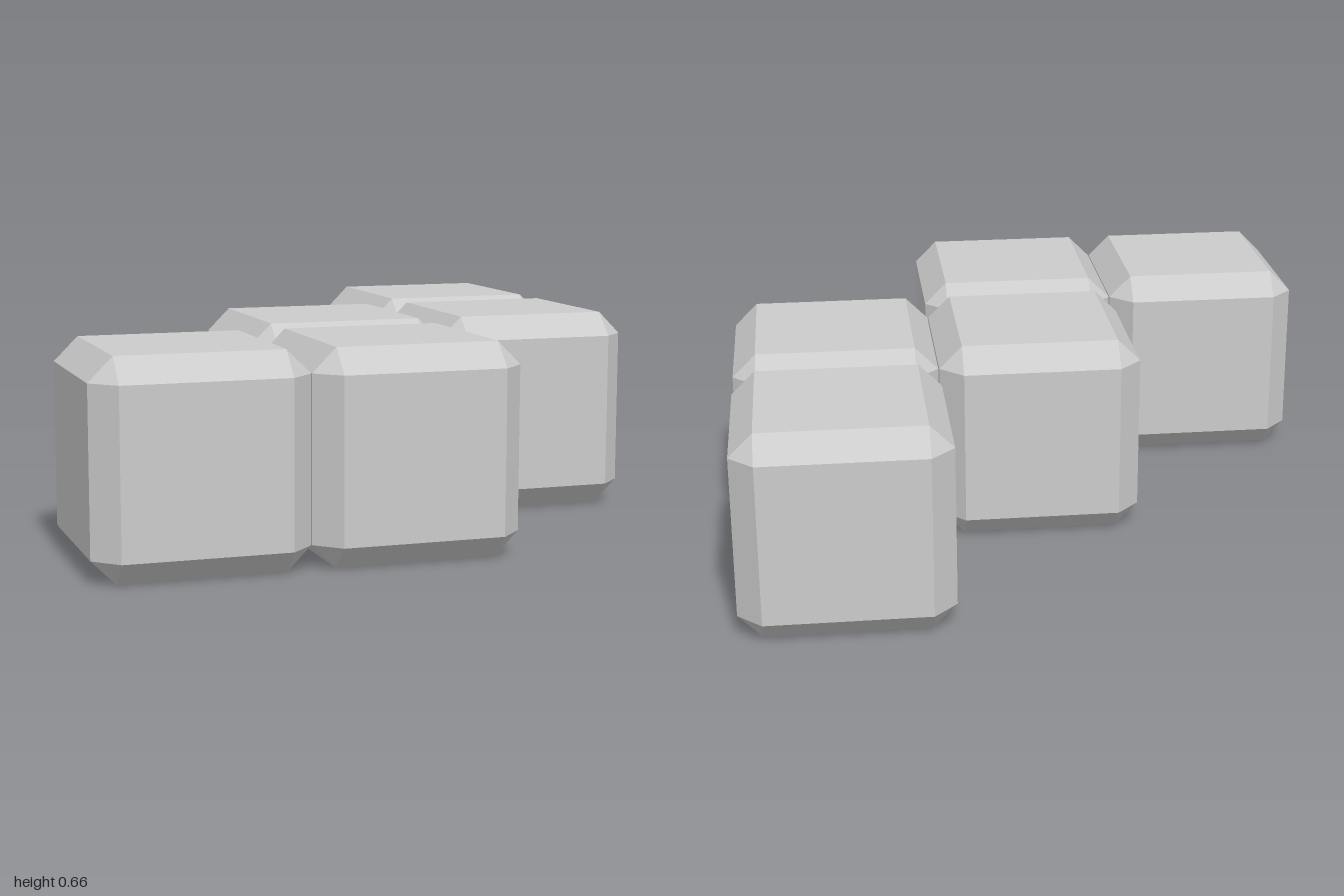
import * as THREE from 'three';
import { ConvexGeometry } from 'three/addons/geometries/ConvexGeometry.js';

const SIZE = 2 / 3;
const BEVEL = 0.075;

// Cube with flat chamfered edges and triangular corners
function chamferedCube(size, bevel) {
  const h = size / 2, i = h - bevel;
  const points = [];
  for (const sx of [-1, 1]) for (const sy of [-1, 1]) for (const sz of [-1, 1]) {
    points.push(
      new THREE.Vector3(sx * h, sy * i, sz * i),
      new THREE.Vector3(sx * i, sy * h, sz * i),
      new THREE.Vector3(sx * i, sy * i, sz * h));
  }
  return new ConvexGeometry(points);
}

export function createModel() {
  const group = new THREE.Group();
  group.name = 'steppedBlock';
  const material = new THREE.MeshStandardMaterial({ color: 0xcccccc, flatShading: true });
  const geometry = chamferedCube(SIZE - 0.003, BEVEL);

  // Five cubes in a W-shaped staircase, as [column, row] cells
  const cells = [[-1, 1], [0, 1], [0, 0], [1, 0], [1, -1]];
  cells.forEach(([column, row], n) => {
    const cube = new THREE.Mesh(geometry, material);
    cube.name = `cube${n + 1}`;
    cube.position.set(column * SIZE, SIZE / 2, row * SIZE);
    group.add(cube);
  });
  return group;
}
